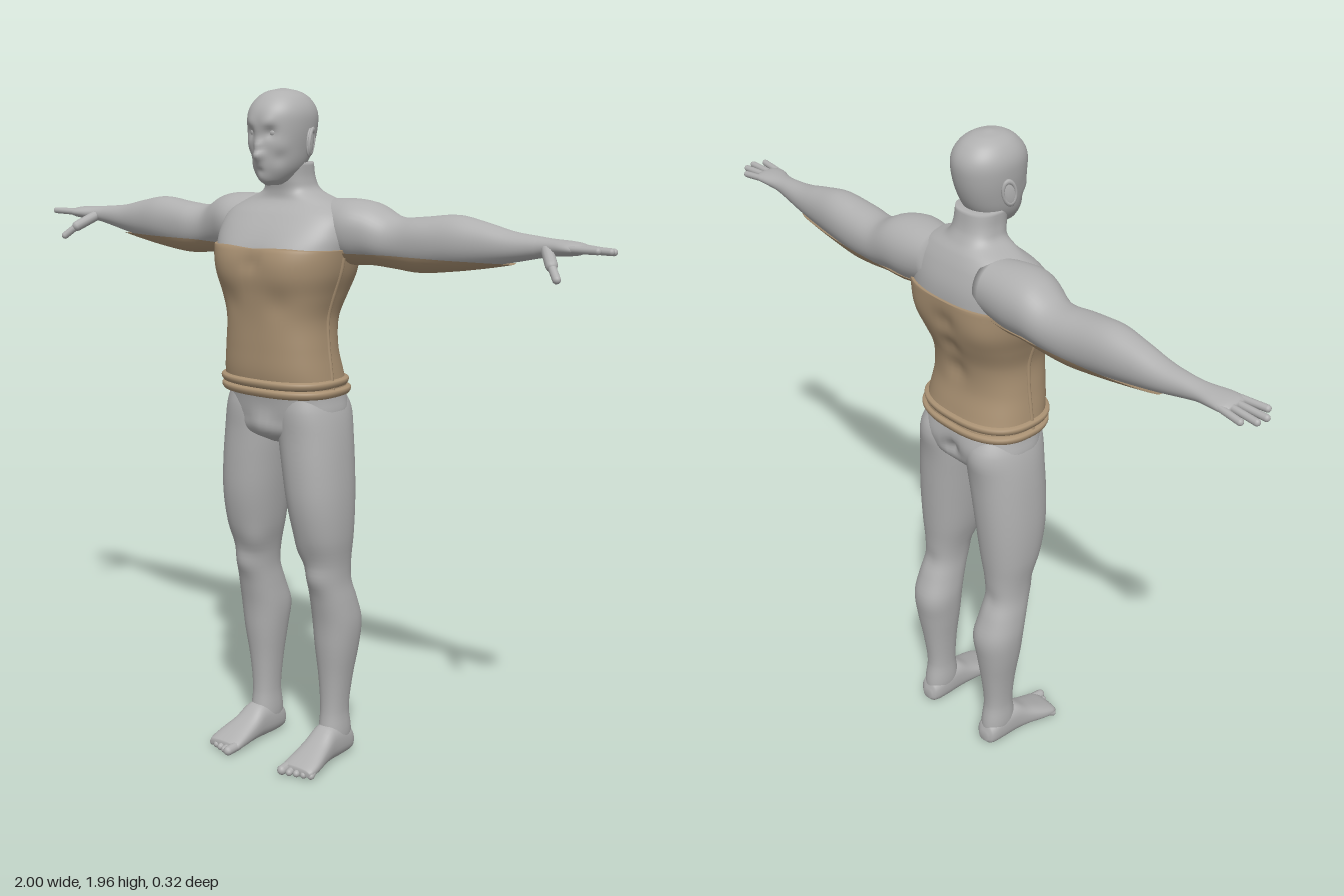
import * as THREE from 'three';

const mat = (name, color, side = THREE.FrontSide) => {
  const m = new THREE.MeshStandardMaterial({ color, side });
  m.name = name;
  return m;
};

// Smooth interpolation of section rows [w, uMin, uMax, vMin, vMax]
function sample(rows, w) {
  let i = 0;
  while (i < rows.length - 2 && w > rows[i + 1][0]) i++;
  const a = rows[i], b = rows[i + 1], p = rows[Math.max(i - 1, 0)], q = rows[Math.min(i + 2, rows.length - 1)];
  const h = b[0] - a[0], t = (w - a[0]) / h, t2 = t * t, t3 = t2 * t;
  return a.map((v, k) => {
    if (k === 0) return w;
    const m0 = (b[k] - p[k]) / (b[0] - p[0]) * h, m1 = (q[k] - v) / (q[0] - a[0]) * h;
    return (2 * t3 - 3 * t2 + 1) * v + (t3 - 2 * t2 + t) * m0 + (3 * t2 - 2 * t3) * b[k] + (t3 - t2) * m1;
  });
}

// Local muscle swellings and hollows: [x, y, z, radius, height], same on both sides
function sculpt(g, bumps) {
  const p = g.attributes.position, n = g.attributes.normal;
  for (let i = 0; i < p.count; i++) {
    let d = 0;
    for (const [x, y, z, r, h] of bumps) {
      const s = (Math.abs(p.getX(i)) - x) ** 2 + (p.getY(i) - y) ** 2 + (p.getZ(i) - z) ** 2;
      d += h * Math.exp(-s / (r * r));
    }
    p.setXYZ(i, p.getX(i) + d * n.getX(i), p.getY(i) + d * n.getY(i), p.getZ(i) + d * n.getZ(i));
  }
  g.computeVertexNormals();
}

// Skin a row of rounded sections along an axis; arc(row) leaves an opening at the +u side
function loft(axis, rows, { n = 2, seg = 40, sub = 4, offset = 0, range, arc, bumps = [] } = {}) {
  const order = { x: [1, 2, 0], y: [2, 0, 1], z: [0, 1, 2] }[axis];
  let ws = [];
  rows.forEach((r, i) => {
    for (let k = 0; k < sub && i < rows.length - 1; k++) ws.push(r[0] + (rows[i + 1][0] - r[0]) * k / sub);
  });
  ws.push(rows[rows.length - 1][0]);
  if (range) ws = [range[0], ...ws.filter(w => w > range[0] + 1e-3 && w < range[1] - 1e-3), range[1]];
  const pos = [], idx = [], cols = arc ? seg + 1 : seg;
  const put = (u, v, w) => {
    const p = [0, 0, 0];
    [u, v, w].forEach((c, k) => { p[order[k]] = c; });
    pos.push(...p);
  };
  const pw = c => Math.sign(c) * Math.abs(c) ** (2 / n);
  const rings = ws.map(w => sample(rows, w));
  for (const r of rings) {
    const a0 = arc ? arc(r) : 0;
    for (let j = 0; j < cols; j++) {
      const a = a0 + (2 * Math.PI - 2 * a0) * j / seg;
      put((r[1] + r[2]) / 2 + ((r[2] - r[1]) / 2 + offset) * pw(Math.cos(a)),
        (r[3] + r[4]) / 2 + ((r[4] - r[3]) / 2 + offset) * pw(Math.sin(a)), r[0]);
    }
  }
  for (let i = 0; i < rings.length - 1; i++) for (let j = 0; j < seg; j++) {
    const a = i * cols + j, b = i * cols + (j + 1) % cols;
    idx.push(a, b, b + cols, a, b + cols, a + cols);
  }
  if (!arc) [0, rings.length - 1].forEach((ri, end) => {
    const r = rings[ri], c = pos.length / 3;
    put((r[1] + r[2]) / 2, (r[3] + r[4]) / 2, r[0]);
    for (let j = 0; j < seg; j++) {
      const a = ri * cols + j, b = ri * cols + (j + 1) % cols;
      end ? idx.push(a, b, c) : idx.push(b, a, c);
    }
  });
  const g = new THREE.BufferGeometry();
  g.setAttribute('position', new THREE.Float32BufferAttribute(pos, 3));
  g.setIndex(idx);
  g.computeVertexNormals();
  if (bumps.length) sculpt(g, bumps);
  return g;
}

// Rounded finger or toe between two points
function digit(a, b, r) {
  const A = new THREE.Vector3(...a), B = new THREE.Vector3(...b), d = B.clone().sub(A);
  const g = new THREE.CapsuleGeometry(r, d.length(), 5, 12);
  g.applyQuaternion(new THREE.Quaternion().setFromUnitVectors(new THREE.Vector3(0, 1, 0), d.normalize()));
  const c = A.add(B).multiplyScalar(0.5);
  return g.translate(c.x, c.y, c.z);
}

export function createModel() {
  const root = new THREE.Group();
  const skin = mat('grey skin', 0xb0b0b0);
  const cloth = mat('tan cloth', 0xa89072, THREE.DoubleSide);
  const add = (name, g, m) => {
    const mesh = new THREE.Mesh(g, m);
    mesh.name = name;
    root.add(mesh);
  };
  const pair = (name, g, m) => {
    add('left ' + name, g, m);
    const r = g.clone().scale(-1, 1, 1), ix = r.index.array;
    for (let i = 0; i < ix.length; i += 3) [ix[i], ix[i + 1]] = [ix[i + 1], ix[i]];
    add('right ' + name, r, m);
  };

  // Torso and neck: y, back z, front z, -x, +x
  const torso = [
    [0.97, -0.03, 0.05, 0.03], [1.0, -0.11, 0.098, 0.13], [1.05, -0.132, 0.108, 0.18],
    [1.11, -0.13, 0.118, 0.177], [1.18, -0.115, 0.133, 0.168], [1.25, -0.1, 0.136, 0.158],
    [1.33, -0.108, 0.138, 0.154], [1.4, -0.132, 0.144, 0.174], [1.46, -0.147, 0.15, 0.197],
    [1.52, -0.153, 0.145, 0.21], [1.57, -0.15, 0.12, 0.215], [1.62, -0.135, 0.08, 0.2],
    [1.655, -0.118, 0.045, 0.145], [1.68, -0.1, 0.04, 0.085], [1.71, -0.085, 0.045, 0.069],
    [1.76, -0.076, 0.055, 0.066],
  ].map(r => [...r, r[3]].map((v, k) => (k === 3 ? -v : v)));
  const torsoBumps = [
    [0.1, 1.48, 0.14, 0.065, 0.009], [0, 1.49, 0.15, 0.025, -0.008], [0.08, 1.38, 0.13, 0.04, -0.006],
    [0, 1.3, -0.11, 0.035, -0.012], [0, 1.38, -0.13, 0.035, -0.012], [0, 1.46, -0.15, 0.035, -0.012],
    [0.12, 1.46, -0.13, 0.06, 0.008], [0, 1.03, 0.11, 0.035, 0.014], [0, 1.05, -0.13, 0.025, -0.02],
    [0.085, 1.07, -0.125, 0.055, 0.008],
  ];
  const tOpt = { n: 2.5, seg: 72, sub: 6, bumps: torsoBumps };
  add('torso', loft('y', torso, tOpt), skin);

  // Garment with rolled hem and side seams
  add('garment body', loft('y', torso, { ...tOpt, offset: 0.007, range: [1.13, 1.53] }), cloth);
  [1.125, 1.151].forEach((y, i) => {
    const s = sample(torso, y + 0.012), e = 0.009, row = (h, o) => [y + h, s[1] - o, s[2] + o, s[3] - o, s[4] + o];
    add(i ? 'upper hem' : 'lower hem', loft('y', [row(-0.012, 0), row(-0.008, e), row(0.008, e + 0.004), row(0.014, 0)],
      { n: 2.5, seg: 64, offset: 0.005 }), cloth);
  });
  const seam = [1.13, 1.2, 1.27, 1.34, 1.41, 1.47, 1.51].map(y => new THREE.Vector3(sample(torso, y)[4] + 0.006, y, 0.012));
  pair('side seam', new THREE.TubeGeometry(new THREE.CatmullRomCurve3(seam), 30, 0.006, 8), cloth);

  // Head, face and ears
  const head = [
    [1.7, 0.03, 0.08, 0.02], [1.715, -0.01, 0.096, 0.042], [1.75, -0.05, 0.11, 0.065], [1.8, -0.077, 0.115, 0.078],
    [1.86, -0.092, 0.121, 0.087], [1.9, -0.09, 0.116, 0.085], [1.933, -0.068, 0.092, 0.067],
    [1.952, -0.035, 0.06, 0.04], [1.96, 0.005, 0.02, 0.008],
  ].map(([y, b, f, x]) => [y, b, f, -x, x]);
  add('head', loft('y', head, {
    n: 2.15, seg: 96, sub: 8, bumps: [
      [0, 1.782, 0.12, 0.016, 0.025], [0, 1.81, 0.12, 0.014, 0.014], [0.034, 1.843, 0.11, 0.018, -0.011],
      [0.028, 1.866, 0.115, 0.02, 0.005], [0, 1.754, 0.112, 0.018, 0.006], [0, 1.74, 0.11, 0.01, -0.004],
      [0, 1.718, 0.1, 0.02, 0.007], [0.052, 1.805, 0.085, 0.025, 0.004], [0.05, 1.775, 0.09, 0.02, -0.004]],
  }), skin);
  pair('eye', new THREE.SphereGeometry(0.013, 16, 12).translate(0.033, 1.843, 0.093), skin);
  pair('ear', new THREE.SphereGeometry(1, 18, 14).scale(0.009, 0.04, 0.021).rotateX(-0.2).rotateY(0.35)
    .translate(0.087, 1.815, 0.003), skin);
  pair('ear rim', new THREE.TorusGeometry(0.02, 0.005, 8, 20).scale(0.9, 1.6, 1).rotateY(Math.PI / 2 + 0.35)
    .rotateX(-0.2).translate(0.091, 1.818, 0.001), skin);

  // Arms: x, bottom y, top y, back z, front z
  const arm = [
    [0.1, 1.51, 1.66, -0.14, 0.01], [0.2, 1.49, 1.665, -0.147, 0.035], [0.27, 1.492, 1.655, -0.145, 0.02],
    [0.34, 1.487, 1.623, -0.138, 0.002], [0.42, 1.482, 1.625, -0.133, 0], [0.53, 1.494, 1.637, -0.128, -0.003],
    [0.62, 1.508, 1.622, -0.118, -0.015], [0.7, 1.523, 1.604, -0.108, -0.026], [0.78, 1.54, 1.596, -0.097, -0.034],
    [0.82, 1.548, 1.593, -0.095, -0.03], [0.87, 1.553, 1.591, -0.1, -0.015], [0.9, 1.557, 1.587, -0.1, -0.014],
    [0.915, 1.566, 1.58, -0.088, -0.025],
  ];
  pair('arm', loft('x', arm, { n: 2.1, seg: 40, sub: 5, bumps: [[0.43, 1.61, 0, 0.05, 0.005], [0.24, 1.62, 0.03, 0.05, 0.006]] }), skin);
  // Cloth under the arm, reaching up to the chest line
  const cut = r => Math.acos(THREE.MathUtils.clamp((1.526 - (r[1] + r[2]) / 2) * 2 / (r[2] - r[1]), -1, 1));
  pair('sleeve underside', loft('x', arm, { n: 2.1, seg: 24, sub: 5, offset: 0.006, range: [0.16, 0.7], arc: cut }), cloth);

  // Fingers and thumb
  [[-0.091, -0.096, 0.955], [-0.068, -0.073, 0.985], [-0.046, -0.046, 0.991], [-0.024, -0.016, 0.97]].forEach(([z0, z1, x], i) =>
    pair('finger ' + (i + 1), digit([0.885, 1.573, z0], [x, 1.566 + 0.003 * i, z1], 0.0095), skin));
  pair('thumb base', digit([0.815, 1.565, -0.042], [0.855, 1.533, 0.003], 0.016), skin);
  pair('thumb', digit([0.85, 1.538, 0], [0.885, 1.503, 0.028], 0.011), skin);

  // Legs: y, back z, front z, inner x, outer x
  pair('leg', loft('y', [
    [0.03, -0.125, -0.01, 0.098, 0.168], [0.08, -0.125, -0.012, 0.092, 0.174], [0.15, -0.115, -0.02, 0.095, 0.17],
    [0.25, -0.125, -0.015, 0.088, 0.18], [0.35, -0.14, -0.003, 0.076, 0.197], [0.43, -0.145, 0.005, 0.07, 0.205],
    [0.5, -0.125, 0.02, 0.074, 0.2], [0.56, -0.105, 0.035, 0.077, 0.193], [0.62, -0.103, 0.045, 0.07, 0.195],
    [0.7, -0.11, 0.075, 0.05, 0.206], [0.8, -0.118, 0.096, 0.033, 0.21], [0.9, -0.124, 0.102, 0.018, 0.206],
    [1.0, -0.128, 0.103, 0.004, 0.197], [1.07, -0.128, 0.106, 0.006, 0.184], [1.12, -0.11, 0.1, 0.02, 0.165],
  ], {
    n: 2.2, seg: 48, bumps: [[0.135, 0.575, 0.04, 0.035, 0.008], [0.105, 0.42, -0.13, 0.05, 0.005],
      [0.1, 1.05, -0.125, 0.055, 0.01], [0.085, 0.65, 0.05, 0.04, 0.007], [0.135, 0.56, -0.1, 0.03, -0.005]],
  }), skin);

  // Feet: z, inner x, outer x, bottom y, top y
  pair('foot', loft('z', [
    [-0.132, 0.115, 0.15, 0.015, 0.045], [-0.12, 0.1, 0.167, 0.004, 0.075], [-0.08, 0.093, 0.174, 0, 0.1],
    [-0.02, 0.092, 0.178, 0, 0.108], [0.03, 0.09, 0.186, 0.002, 0.077], [0.08, 0.088, 0.197, 0, 0.053],
    [0.115, 0.088, 0.199, 0, 0.037], [0.13, 0.094, 0.193, 0.004, 0.028],
  ], { n: 2.5, seg: 32 }), skin);
  for (let i = 0; i < 5; i++) {
    const x = 0.103 + i * 0.0215, r = i ? 0.0105 : 0.0145;
    pair('toe ' + (i + 1), digit([x, 0.018, 0.105], [x + 0.002, r, 0.146 - i * 0.007], r), skin);
  }
  return root;
}
